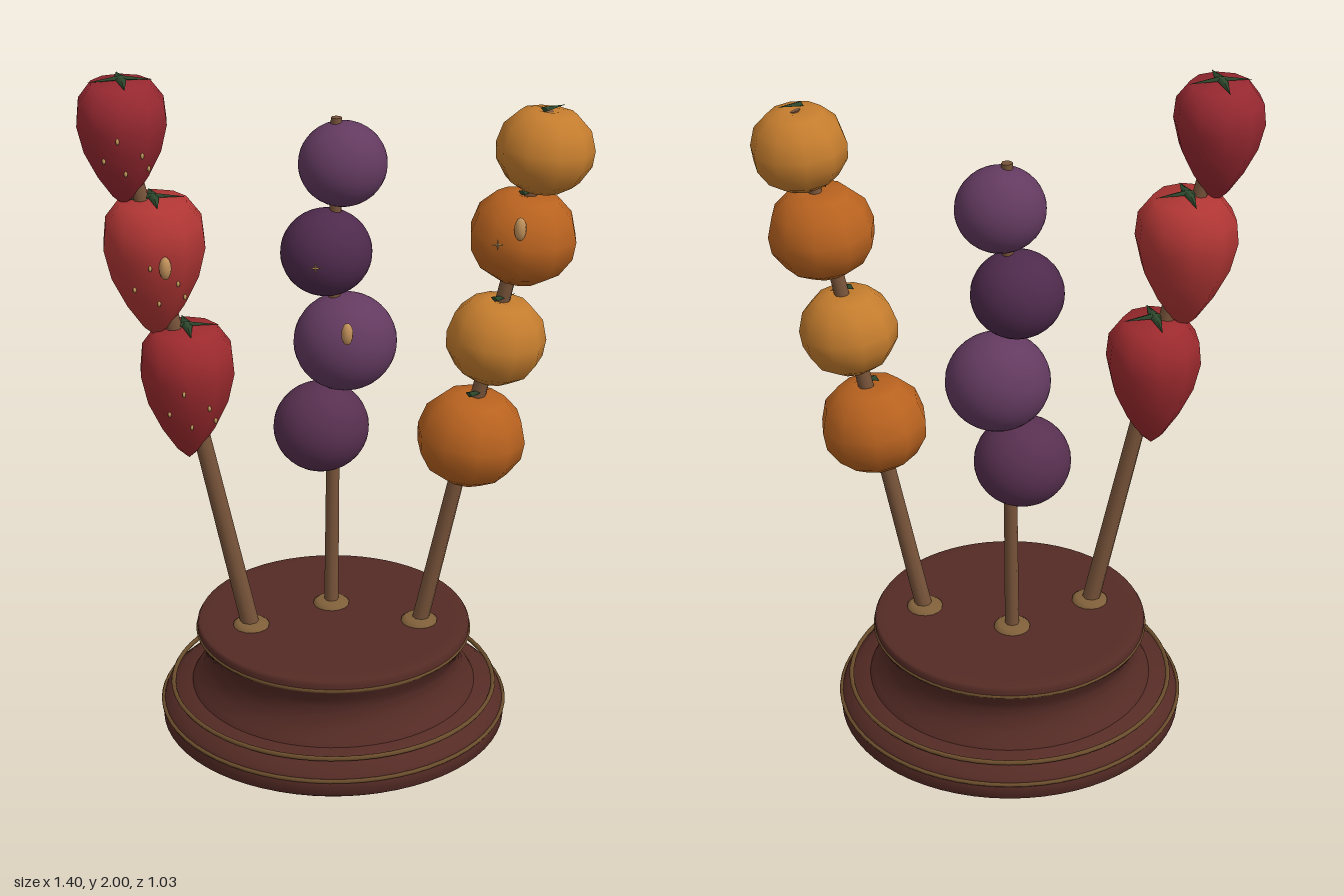
import * as THREE from 'three';

const mat = (color, side = THREE.FrontSide) => new THREE.MeshStandardMaterial({ color, side });
const V = (x, y, z) => new THREE.Vector3(x, y, z);
const M = {
  wood: mat(0x552b25, THREE.DoubleSide), trim: mat(0x6b4d2c), stick: mat(0x78543a), collar: mat(0x80603a),
  leaf: mat(0x2f4a2e), seed: mat(0xc49a5c), drop: mat(0xc0905a),
  reds: [mat(0x9c2a2e), mat(0xb03634), mat(0x962830)],
  purples: [mat(0x583050), mat(0x633a60), mat(0x4e2a4c), mat(0x633a60)],
  oranges: [mat(0xb8621f), mat(0xc57d2e), mat(0xb8621f), mat(0xc57d2e)],
};

function add(parent, name, geo, material, pos = [0, 0, 0], scale = [1, 1, 1]) {
  const m = new THREE.Mesh(geo, material);
  m.name = name;
  m.position.set(...pos);
  m.scale.set(...scale);
  parent.add(m);
  return m;
}

const lathe = (pts, seg) => new THREE.LatheGeometry(pts.map(p => new THREE.Vector2(...p)), seg);

// Tapered stick between two points, with a collar where it enters the base
function skewer(g, a, b, r) {
  const from = V(...a), to = V(...b), dir = to.clone().sub(from);
  const stick = add(g, 'skewer', new THREE.CylinderGeometry(r * 0.75, r, dir.length(), 8), M.stick);
  stick.position.copy(from).addScaledVector(dir, 0.5);
  stick.quaternion.setFromUnitVectors(V(0, 1, 0), dir.normalize());
  const c = lathe([[0.053, 0], [0.053, 0.008], [0.04, 0.018], [0, 0.018]], 16);
  add(g, 'collar', c, M.collar, [a[0], 0.318, a[2]]);
}

// Flat pointed leaf reaching outward at an angle
function leaf(g, pos, angle, length, width, droop = 0) {
  const geo = new THREE.ConeGeometry(width, length, 4);
  geo.translate(0, length / 2, 0).scale(1, 1, 0.4).rotateX(Math.PI / 2);
  const m = add(g, 'leaf', geo, M.leaf, pos);
  m.rotation.set(droop, angle, 0, 'YXZ');
}

function drop(g, x, y, z) {
  add(g, 'syrupDrop', new THREE.SphereGeometry(1, 10, 8), M.drop, [x, y, z], [0.017, 0.033, 0.017]);
}

// Four-pointed glint
function sparkle(g, x, y, z) {
  for (const s of [[0.018, 0.004, 0.004], [0.004, 0.018, 0.004]])
    add(g, 'sparkle', new THREE.OctahedronGeometry(1), M.seed, [x, y, z], s);
}

function base() {
  const g = new THREE.Group();
  g.name = 'base';
  const foot = [[0, 0], [0.49, 0], [0.508, 0.012], [0.51, 0.05], [0.5, 0.075], [0.465, 0.105], [0.42, 0.118]];
  const neck = [[0.42, 0.118], [0.41, 0.135], [0.388, 0.16], [0.376, 0.195], [0.374, 0.225], [0.381, 0.25],
    [0.398, 0.278], [0.402, 0.29]];
  const top = [[0.402, 0.29], [0.402, 0.31], [0.396, 0.32], [0.36, 0.321], [0, 0.321]];
  [['foot', foot], ['neck', neck], ['topDisc', top]].forEach(([n, p]) => add(g, n, lathe(p, 64), M.wood));
  for (const [r, y, t] of [[0.508, 0.06, 0.006], [0.477, 0.116, 0.007], [0.4, 0.291, 0.006]])
    add(g, 'trimRing', new THREE.TorusGeometry(r, t, 6, 64).rotateX(Math.PI / 2), M.trim, [0, y, 0]);
  g.position.x = -0.005;
  return g;
}

// Strawberries, pointed end down
function strawberries() {
  const g = new THREE.Group();
  g.name = 'strawberrySkewer';
  skewer(g, [-0.25, 0.31, 0.04], [-0.597, 1.93, 0.028], 0.027);
  const profile = [[0, 0], [0.25, 0.08], [0.57, 0.25], [0.86, 0.46], [1, 0.67], [0.95, 0.84], [0.66, 0.98], [0, 1]];
  const berry = lathe(profile, 10);
  const berries = [[-0.42, 0.865, 0.03, 0.138, 0.405], [-0.503, 1.24, 0.028, 0.147, 0.41], [-0.582, 1.63, 0.026, 0.128, 0.355]];
  berries.forEach(([x, y, z, r, h], i) => {
    add(g, 'strawberry', berry, M.reds[i], [x, y, z], [r, h, r]);
    for (let k = 0; k < 4; k++) leaf(g, [x, y + h + 0.006, z], k * Math.PI / 2 + 0.12, 0.092, 0.018, 0.1);
    add(g, 'stem', new THREE.CylinderGeometry(0.01, 0.012, 0.02, 6), M.leaf, [x, y + h, z]);
    // Seeds follow the front surface
    for (const [a, t, s] of [[-0.5, 0.44, 0.82], [0.5, 0.48, 0.87], [0.08, 0.33, 0.68], [-0.1, 0.62, 0.97], [0.9, 0.34, 0.7]])
      add(g, 'seed', new THREE.SphereGeometry(1, 6, 5), M.seed,
        [x + Math.sin(a) * r * s, y + h * t, z + Math.cos(a) * r * s], [0.005, 0.009, 0.006]);
  });
  drop(g, -0.476, 1.495, 0.17);
  return g;
}

// Smooth round plums
function plums() {
  const g = new THREE.Group();
  g.name = 'plumSkewer';
  skewer(g, [-0.005, 0.31, -0.08], [0.012, 1.825, -0.106], 0.021);
  const ball = new THREE.SphereGeometry(1, 32, 20);
  const list = [[-0.033, 0.895, -0.094, 0.139], [0.037, 1.158, -0.098, 0.149], [-0.017, 1.43, -0.102, 0.131], [0.03, 1.69, -0.106, 0.126]];
  list.forEach(([x, y, z, r], i) => add(g, 'plum', ball, M.purples[i], [x, y, z], [r, r * 0.97, r * 0.9]));
  drop(g, 0.03, 1.24, 0.055);
  sparkle(g, -0.057, 1.43, 0.03);
  return g;
}

// Squat faceted persimmons with a dimpled crown
function persimmons() {
  const g = new THREE.Group();
  g.name = 'persimmonSkewer';
  skewer(g, [0.245, 0.31, 0.05], [0.575, 1.9, 0.13], 0.025);
  const profile = [[0, -0.95], [0.4, -0.98], [0.75, -0.72], [0.97, -0.3], [1, 0.1], [0.88, 0.58], [0.58, 0.93], [0.25, 1], [0, 0.94]];
  const fruit = lathe(profile, 10);
  const list = [[0.38, 0.93, 0.095, 0.156, 0.132], [0.444, 1.232, 0.105, 0.141, 0.121],
    [0.51, 1.54, 0.116, 0.152, 0.126], [0.563, 1.79, 0.124, 0.136, 0.114]];
  list.forEach(([x, y, z, r, h], i) => {
    const m = add(g, 'persimmon', fruit, M.oranges[i], [x, y, z], [r, h, r]);
    m.rotation.set(0.04, i * 0.25, -0.1);
    leaf(g, [x - 0.01, y + h + 0.008, z + 0.02], 2.0, 0.07, 0.018, -0.05);
  });
  drop(g, 0.482, 1.61, 0.25);
  sparkle(g, 0.42, 1.57, 0.26);
  return g;
}

export function createModel() {
  const model = new THREE.Group();
  model.name = 'fruitSkewerStand';
  model.add(base(), strawberries(), plums(), persimmons());
  return model;
}
